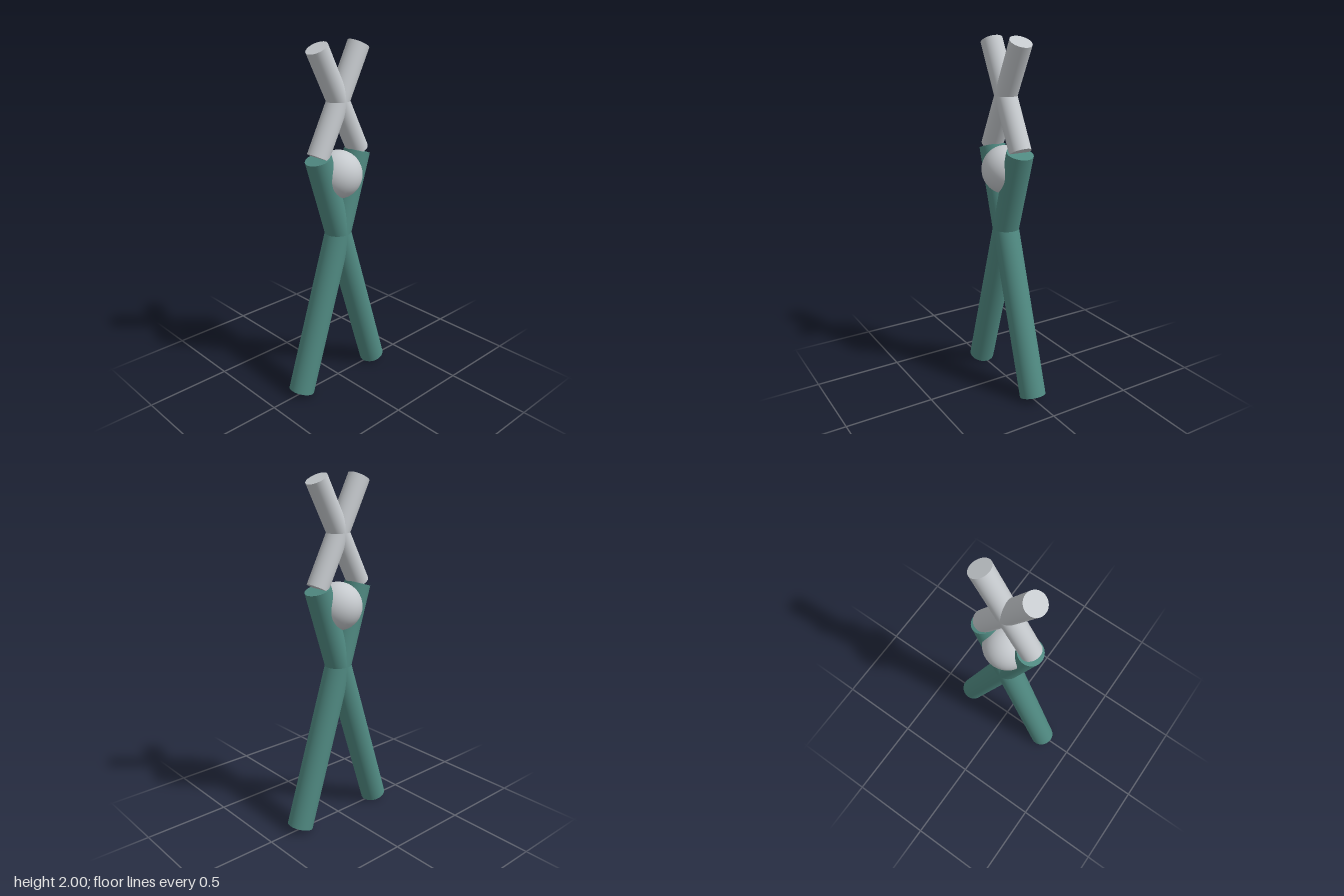
import * as THREE from 'three';

export function createModel() {
  const model = new THREE.Group();
  const teal = new THREE.MeshStandardMaterial({ color: 0x508a82 });
  teal.name = 'teal';
  const grey = new THREE.MeshStandardMaterial({ color: 0xc6cace });
  grey.name = 'paleGrey';

  // Capped straight rod between two points in the z = 0 plane
  function rod(name, from, to, radius, material) {
    const a = new THREE.Vector3(from[0], from[1], 0);
    const b = new THREE.Vector3(to[0], to[1], 0);
    const dir = b.clone().sub(a);
    const mesh = new THREE.Mesh(new THREE.CylinderGeometry(radius, radius, dir.length(), 48), material);
    mesh.name = name;
    mesh.position.copy(a).add(b).multiplyScalar(0.5);
    mesh.quaternion.setFromUnitVectors(new THREE.Vector3(0, 1, 0), dir.normalize());
    model.add(mesh);
  }

  for (const [side, s] of [['left', 1], ['right', -1]]) {
    // Long lower rods crossing low down, short upper rods crossing above
    rod(side + 'LowerRod', [s * 0.293, 0.023], [-s * 0.144, 1.397], 0.074, teal);
    rod(side + 'UpperRod', [s * 0.147, 1.405], [-s * 0.147, 1.972], 0.061, grey);
  }

  // Ball held between the tops of the lower rods
  const ball = new THREE.Mesh(new THREE.SphereGeometry(0.135, 32, 20), grey);
  ball.name = 'ball';
  ball.position.y = 1.285;
  model.add(ball);

  return model;
}
